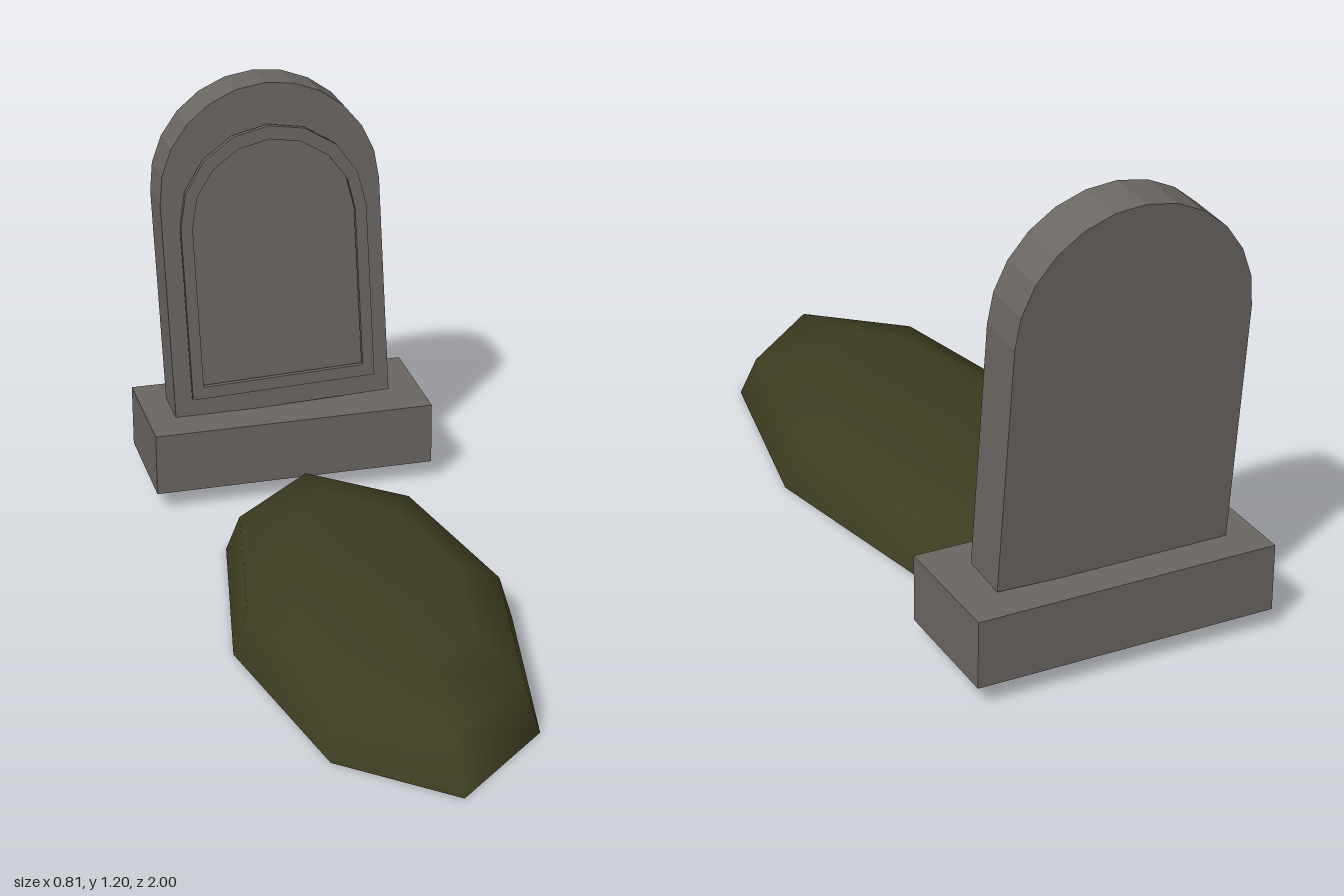
import * as THREE from 'three';

const stone = new THREE.MeshStandardMaterial({ color: 0x6b6763 });
stone.name = 'grey stone';
const earth = new THREE.MeshStandardMaterial({ color: 0x3d3d21, side: THREE.DoubleSide });
earth.name = 'mossy earth';

// Upright outline with a round top
function trace(path, halfWidth, bottom, spring) {
  path.moveTo(-halfWidth, bottom);
  path.lineTo(halfWidth, bottom);
  path.lineTo(halfWidth, spring);
  path.absarc(0, spring, halfWidth, 0, Math.PI, false);
  path.closePath();
  return path;
}

function part(name, geometry, material, parent) {
  const mesh = new THREE.Mesh(geometry, material);
  mesh.name = name;
  parent.add(mesh);
  return mesh;
}

export function createModel() {
  const model = new THREE.Group();
  model.name = 'grave';

  // Plinth
  part('plinth', new THREE.BoxGeometry(0.81, 0.18, 0.345), stone, model)
    .position.set(0, 0.145, -0.8275);

  // Headstone, leaning back and a little to one side
  const headstone = new THREE.Group();
  headstone.name = 'headstone';
  headstone.position.z = -0.754;
  headstone.rotation.set(-0.053, 0, 0.033);
  model.add(headstone);

  const slab = new THREE.ExtrudeGeometry(trace(new THREE.Shape(), 0.315, 0.238, 0.885),
    { depth: 0.138, bevelEnabled: false, curveSegments: 6 });
  slab.translate(0, 0, -0.138);
  part('slab', slab, stone, headstone);

  // Thin raised border standing just off the slab face
  const border = trace(new THREE.Shape(), 0.267, 0.303, 0.818);
  border.holes.push(trace(new THREE.Path(), 0.234, 0.338, 0.812));
  const frame = new THREE.ExtrudeGeometry(border,
    { depth: 0.016, bevelEnabled: false, curveSegments: 4 });
  frame.translate(0, 0, 0.014);
  part('border', frame, stone, headstone);

  // Earth mound: eight-sided dome stretched lengthwise, open underneath
  const profile = [[1, 0], [0.9, 0.125], [0.605, 0.174], [0, 0.185]]
    .map(([r, y]) => new THREE.Vector2(r, y));
  const mound = part('mound', new THREE.LatheGeometry(profile, 8), earth, model);
  mound.scale.set(0.38, 1, 0.81);
  mound.position.z = 0.19;

  return model;
}
